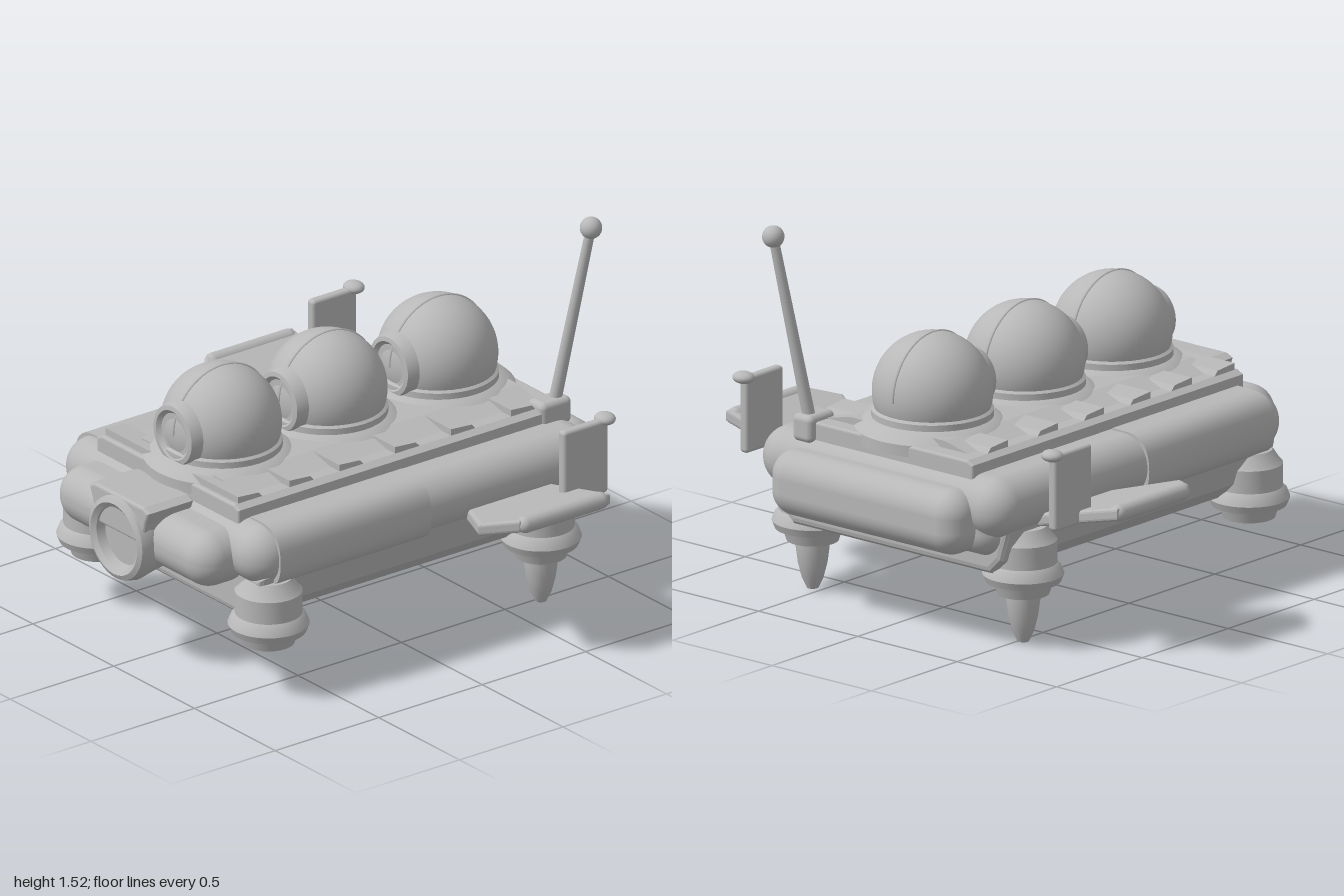
import * as THREE from 'three';
import { toCreasedNormals } from 'three/addons/utils/BufferGeometryUtils.js';
import { RoundedBoxGeometry } from 'three/addons/geometries/RoundedBoxGeometry.js';

const grey = new THREE.MeshStandardMaterial({ color: 0xb8b8b8 });
grey.name = 'hull grey';

export function createModel() {
  const model = new THREE.Group();
  model.name = 'hoverVehicle';

  const add = (name, geometry, x = 0, y = 0, z = 0, parent = model) => {
    const mesh = new THREE.Mesh(geometry, grey);
    mesh.name = name;
    mesh.position.set(x, y, z);
    parent.add(mesh);
    return mesh;
  };
  // rounded block given by its extents
  const block = (name, x0, x1, y0, y1, z0, z1, r) =>
    add(name, new RoundedBoxGeometry(x1 - x0, y1 - y0, z1 - z0, 6, r),
      (x0 + x1) / 2, (y0 + y1) / 2, (z0 + z1) / 2);
  const lathe = (points, segments = 40) => toCreasedNormals(
    new THREE.LatheGeometry(points.map(([r, y]) => new THREE.Vector2(r, y)), segments), 0.6);
  const shapeOf = (points) => new THREE.Shape(points.map(([x, y]) => new THREE.Vector2(x, y)));
  const extrude = (shape, depth, bevel = 0) => new THREE.ExtrudeGeometry(shape, {
    depth, bevelEnabled: bevel > 0, bevelSize: bevel, bevelThickness: bevel,
    bevelOffset: -bevel, bevelSegments: 3, curveSegments: 10,
  });

  // main body and underside
  block('upperBody', -0.628, 0.628, 0.45, 0.69, -0.9, 0.8, 0.118);
  const keel = shapeOf([[-0.5, 0.3], [0.5, 0.3], [0.56, 0.36], [0.6, 0.5], [-0.6, 0.5], [-0.56, 0.36]]);
  add('lowerHull', extrude(keel, 1.5, 0.03), 0, 0, -0.78);
  block('frontBumper', -0.48, 0.48, 0.43, 0.655, 0.66, 0.94, 0.108);
  block('rearBumper', -0.485, 0.485, 0.385, 0.645, -1, -0.7, 0.1);
  block('rearSkirt', -0.56, 0.56, 0.37, 0.6, -0.88, -0.6, 0.1);

  // raised front side panels, ending in a seam half way along
  for (const s of [-1, 1]) {
    const panel = new THREE.Shape();
    panel.moveTo(s * 0.45, 0.45);
    panel.lineTo(s * 0.53, 0.45);
    panel.bezierCurveTo(s * 0.6, 0.45, s * 0.637, 0.48, s * 0.637, 0.56);
    panel.bezierCurveTo(s * 0.637, 0.65, s * 0.6, 0.697, s * 0.52, 0.697);
    panel.lineTo(s * 0.45, 0.697);
    add('sidePanel', toCreasedNormals(extrude(panel, 0.73), 0.6), 0, 0, -0.04);
  }

  // deck tray with a sloping spine and cross ribs
  const tray = shapeOf([[-0.44, 0.62], [0.44, 0.62], [0.44, 0.73], [0.41, 0.745], [-0.41, 0.745], [-0.44, 0.73]]);
  add('deck', extrude(tray, 1.56, 0.01), 0, 0, -0.83);
  const spine = shapeOf([[-0.4, 0.735], [0.4, 0.735], [0.24, 0.773], [-0.24, 0.773]]);
  add('deckSpine', extrude(spine, 1.44), 0, 0, -0.77);
  const rib = extrude(shapeOf([[0, 0], [0.12, 0], [0.1, 0.022], [0, 0.03]]), 0.82);
  rib.rotateY(Math.PI / 2);
  for (const z of [-0.66, -0.37, -0.1, 0.17, 0.41, 0.66])
    add('deckRib', rib, -0.41, 0.742, z + 0.06);

  // three domes with collars, crests and round front visors
  const collar = lathe([[0.3, 0.7], [0.3, 0.745], [0.27, 0.772], [0.235, 0.785], [0.235, 0.81], [0.215, 0.825]]);
  const ball = new THREE.SphereGeometry(0.232, 48, 32);
  const crest = new THREE.TorusGeometry(0.231, 0.006, 6, 40, Math.PI).rotateY(Math.PI / 2);
  const visor = lathe([[0.135, 0.16], [0.132, 0.195], [0.118, 0.235], [0.1, 0.238], [0.085, 0.222], [0, 0.222]]);
  visor.rotateX(Math.PI / 2);
  // turn the lathe so that its outer skin faces outward
  for (const z of [0.48, -0.03, -0.565]) {
    const dome = new THREE.Group();
    dome.name = 'dome';
    dome.position.z = z;
    model.add(dome);
    add('domeCollar', collar, 0, 0, 0, dome);
    add('domeShell', ball, 0, 0.88, 0, dome);
    add('domeCrest', crest, 0, 0.88, 0, dome);
    add('domeVisor', visor, 0, 0.885, 0, dome);
  }

  // headlight with its cowl
  const lamp = lathe([[0.15, -0.2], [0.165, -0.1], [0.175, -0.05], [0.165, -0.01], [0.145, 0], [0.125, -0.015], [0.115, -0.05], [0, -0.05]]);
  lamp.rotateX(Math.PI / 2);
  add('headlight', lamp, 0, 0.53, 1);
  const cowl = shapeOf([[-0.14, 0.55], [0.14, 0.55], [0.165, 0.64], [0.185, 0.69], [0.15, 0.705], [-0.15, 0.705], [-0.185, 0.69], [-0.165, 0.64]]);
  add('headlightCowl', extrude(cowl, 0.2, 0.012), 0, 0, 0.765);

  // hover pods; the rear pair carry pointed nozzles
  const pod = lathe([[0, 0.2], [0.1, 0.2], [0.115, 0.245], [0.145, 0.25], [0.157, 0.28],
    [0.145, 0.31], [0.13, 0.325], [0.13, 0.415], [0.115, 0.432], [0.09, 0.47], [0, 0.47]]);
  const nozzle = lathe([[0, 0], [0.022, 0.008], [0.042, 0.05], [0.057, 0.11], [0.065, 0.17], [0.065, 0.21]], 24);
  for (const s of [-1, 1]) {
    add('frontPod', pod, s * 0.53, 0, 0.665);
    add('rearPod', pod, s * 0.53, 0, -0.65);
    add('rearNozzle', nozzle, s * 0.53, 0, -0.65);
  }

  // swept wings with rounded tips and upright fins
  for (const s of [-1, 1]) {
    const plan = shapeOf([[s * 0.58, 0.64], [s * 0.985, 0.63], [s * 0.975, 0.2], [s * 0.85, 0.1], [s * 0.58, 0.25]]);
    const wing = extrude(plan, 0.025, 0.014);
    wing.rotateX(-Math.PI / 2);
    const p = wing.attributes.position;
    for (let i = 0; i < p.count; i++)
      p.setY(i, p.getY(i) + 0.492 + (Math.abs(p.getX(i)) - 0.62) * 0.25);
    wing.computeVertexNormals();
    add('wing', wing);
    const tip = new THREE.CapsuleGeometry(0.034, 0.36, 6, 16).rotateX(Math.PI / 2);
    add('wingTip', tip, s * 0.965, 0.592, -0.415);
    block('fin', s * 0.777 - 0.021, s * 0.777 + 0.021, 0.52, 0.825, -0.77, -0.555, 0.015);
    const cap = new THREE.SphereGeometry(1, 20, 12).scale(0.045, 0.024, 0.04);
    add('finCap', cap, s * 0.777, 0.822, -0.767);
  }

  // leaning aerial
  const foot = new THREE.Vector3(0.4, 0.75, -0.82), top = new THREE.Vector3(0.495, 1.475, -0.92);
  block('aerialBase', 0.35, 0.45, 0.66, 0.77, -0.87, -0.72, 0.025);
  const rod = new THREE.CylinderGeometry(0.019, 0.025, foot.distanceTo(top), 16);
  const mast = add('aerialRod', rod);
  mast.position.lerpVectors(foot, top, 0.5);
  mast.quaternion.setFromUnitVectors(new THREE.Vector3(0, 1, 0), top.clone().sub(foot).normalize());
  add('aerialBall', new THREE.SphereGeometry(0.043, 24, 16), top.x, top.y, top.z);

  return model;
}
